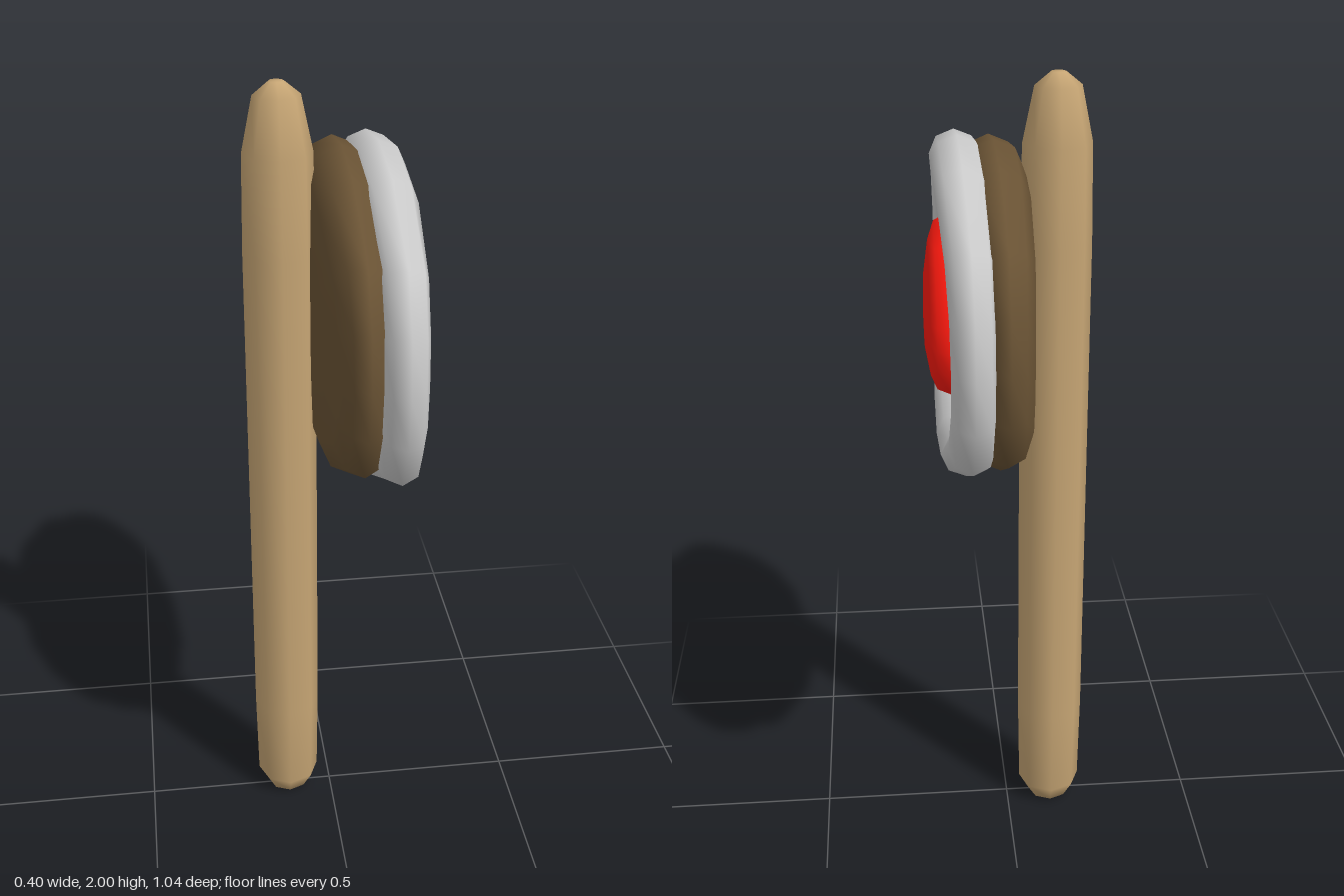
import * as THREE from 'three';

// Smooth skin over rows of points; every row is a closed loop,
// and wrap also joins the last row to the first.
function skin(rows, wrap = false) {
  const n = rows[0].length, index = [];
  const spans = wrap ? rows.length : rows.length - 1;
  for (let i = 0; i < spans; i++) {
    const k = (i + 1) % rows.length;
    for (let j = 0; j < n; j++) {
      const m = (j + 1) % n;
      const a = i * n + j, b = i * n + m, c = k * n + m, d = k * n + j;
      index.push(a, b, c, a, c, d);
    }
  }
  const g = new THREE.BufferGeometry();
  g.setAttribute('position', new THREE.Float32BufferAttribute(rows.flat(2), 3));
  g.setIndex(index);
  g.computeVertexNormals();
  return g;
}

// Mirrors the +z half of an outline, [z, y] from top to bottom, into a full loop
function mirrorHalf(half) {
  return [...half, ...half.slice(1, -1).reverse().map(([z, y]) => [-z, y])];
}

// Mirrors a quadrant, top to side, into a full loop
function mirrorQuadrant(quad) {
  return mirrorHalf([...quad, ...quad.slice(0, -1).reverse().map(([z, y]) => [z, -y])]);
}

function part(name, geometry, color) {
  const mesh = new THREE.Mesh(geometry, new THREE.MeshStandardMaterial({ color }));
  mesh.name = name;
  return mesh;
}

export function createModel() {
  const model = new THREE.Group();
  model.name = 'signpost';
  const midY = 1.46;

  // Eight-sided post with rounded foot and tapered top
  const profile = [
    [0, 0], [0.055, 0.006], [0.082, 0.055], [0.086, 0.3], [0.086, 1.6],
    [0.082, 1.84], [0.055, 1.97], [0.018, 2], [0, 2],
  ].map(([r, y]) => new THREE.Vector2(r, y));
  const post = part('post', new THREE.LatheGeometry(profile, 8), 0xc6a574);
  post.position.set(-0.117, 0, -0.006);
  model.add(post);

  // Outer and inner edges of the rim
  const outer = mirrorQuadrant([[0, 0.4], [0.19, 0.372], [0.43, 0.255], [0.503, 0.13], [0.52, 0]]);
  const inner = mirrorQuadrant([[0, 0.285], [0.185, 0.257], [0.325, 0.172], [0.385, 0.08], [0.395, 0]]);

  // Lens-shaped wooden board, bowed a little towards the middle
  const boardLayers = [
    [0, -0.08], [0.4, -0.079], [0.8, -0.06], [0.95, -0.035], [1, 0],
    [0.95, 0.035], [0.8, 0.06], [0.4, 0.079], [0, 0.08],
  ];
  const boardRows = boardLayers.map(([s, d]) => outer.map(([z, y]) => {
    const bow = s > 0.5 ? 0.014 * Math.sign(d) * (1 - (z / 0.52) ** 2) : 0;
    return [0.03 + d + bow, midY + y * 0.975 * s, z * 0.938 * s - 0.007];
  }));
  model.add(part('board', skin(boardRows), 0x6b5435));

  // Rounded rim, thicker at top and bottom than at its sides
  const rimRows = [];
  for (let i = 0; i < 8; i++) {
    const a = (i / 8) * Math.PI * 2;
    const t = (1 + Math.cos(a)) / 2;
    rimRows.push(outer.map(([oz, oy], j) => {
      const z = THREE.MathUtils.lerp(inner[j][0], oz, t);
      const y = THREE.MathUtils.lerp(inner[j][1], oy, t);
      const mid = 1 - (oz / 0.52) ** 2;
      return [0.107 + 0.006 * mid + (0.05 + 0.012 * mid) * Math.sin(a), midY + y, z];
    }));
  }
  model.add(part('rim', skin(rimRows, true), 0xcccccc));

  // Raised drop emblem
  const drop = mirrorHalf([
    [0, 0.25], [0.05, 0.19], [0.108, 0.09], [0.135, 0.01],
    [0.142, -0.05], [0.132, -0.11], [0.09, -0.172], [0.045, -0.19], [0, -0.195],
  ]);
  const dropLayers = [
    [0, 0.07], [0.9, 0.08], [1, 0.14], [0.93, 0.172], [0.75, 0.187], [0.4, 0.199], [0, 0.201],
  ];
  const dropRows = dropLayers.map(([s, x]) => drop.map(([z, y]) => [x, 1.43 + y * s, z * s]));
  model.add(part('dropEmblem', skin(dropRows), 0xff1a0f));

  return model;
}
